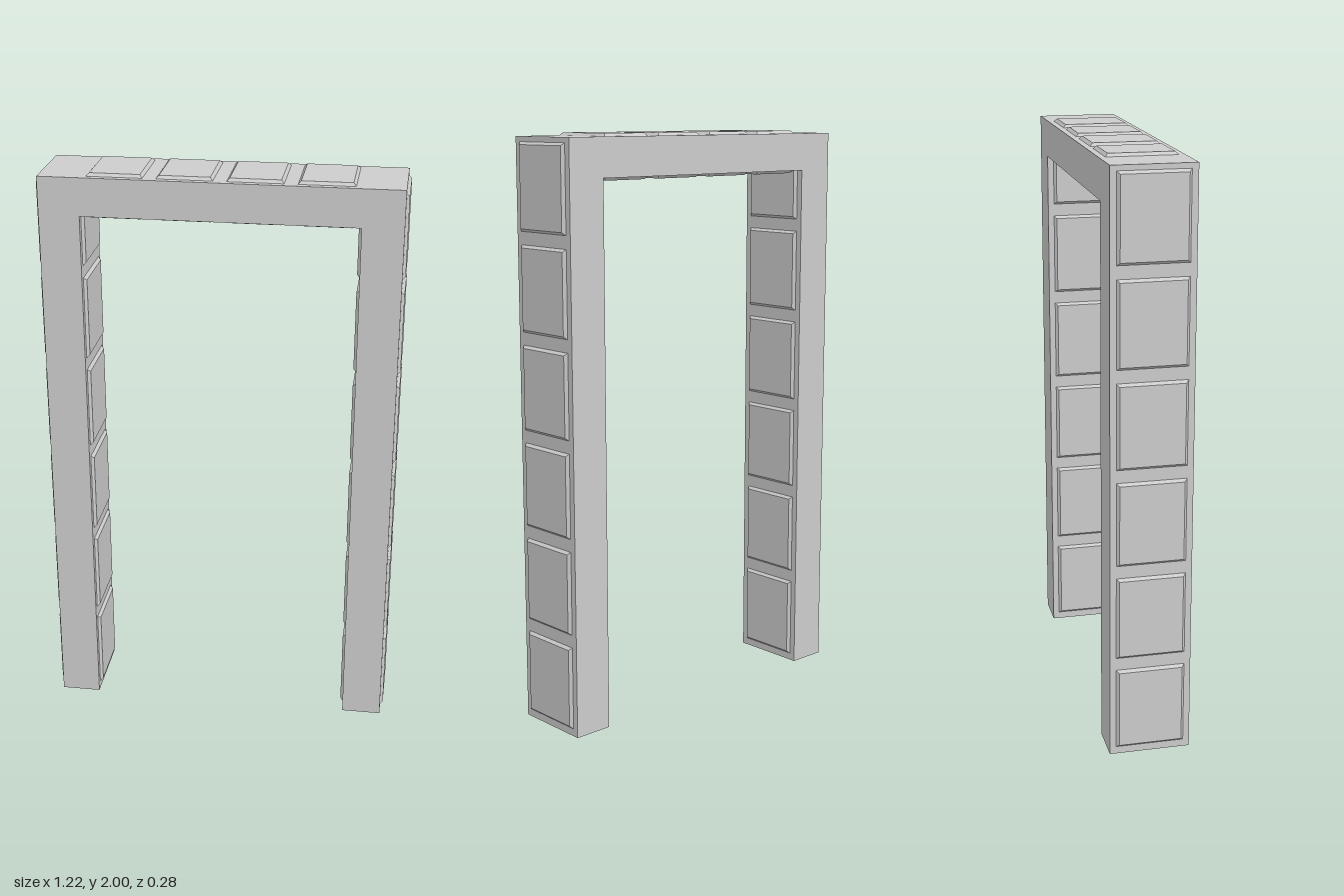
import * as THREE from 'three';

const HALF_W = 0.6, TOP = 1.99, POST = 0.138, LINTEL = 0.13, DEPTH = 0.276, RAISE = 0.01, BEVEL = 0.009;

// Raised panel: a thin slab on the local xz plane whose upper face is inset to form a bevel
function panelGeometry(width, depth) {
  const geo = new THREE.BoxGeometry(width, RAISE, depth);
  geo.translate(0, RAISE / 2, 0);
  const pos = geo.attributes.position;
  for (let i = 0; i < pos.count; i++) {
    if (pos.getY(i) < RAISE / 2) continue;
    pos.setX(i, pos.getX(i) - Math.sign(pos.getX(i)) * BEVEL);
    pos.setZ(i, pos.getZ(i) - Math.sign(pos.getZ(i)) * BEVEL);
  }
  geo.computeVertexNormals();
  return geo;
}

export function createModel() {
  const model = new THREE.Group();
  model.name = 'doorFrame';
  const grey = new THREE.MeshStandardMaterial({ color: 0xcccccc });
  grey.name = 'grey';

  // Two posts and lintel in one outline
  const inner = HALF_W - POST, under = TOP - LINTEL;
  const outline = new THREE.Shape([
    [-HALF_W, 0], [-inner, 0], [-inner, under], [inner, under],
    [inner, 0], [HALF_W, 0], [HALF_W, TOP], [-HALF_W, TOP],
  ].map(([x, y]) => new THREE.Vector2(x, y)));
  const frameGeo = new THREE.ExtrudeGeometry(outline, { depth: DEPTH, bevelEnabled: false });
  frameGeo.translate(0, 0, -DEPTH / 2);
  const frame = new THREE.Mesh(frameGeo, grey);
  frame.name = 'frame';
  model.add(frame);

  const addPanel = (name, geo, x, y, turn) => {
    const panel = new THREE.Mesh(geo, grey);
    panel.name = name;
    panel.position.set(x, y, 0);
    panel.rotation.z = turn;
    model.add(panel);
  };

  // Post panels, six on the outer and inner face of each post
  const postPanel = panelGeometry(0.288, 0.233);
  for (let i = 0; i < 6; i++) {
    const y = 0.17 + i * 0.3317;
    for (const side of [-1, 1]) {
      addPanel('outerPostPanel', postPanel, side * HALF_W, y, -side * Math.PI / 2);
      addPanel('innerPostPanel', postPanel, side * inner, y, side * Math.PI / 2);
    }
  }

  // Lintel panels, four above and four below
  const lintelPanel = panelGeometry(0.186, 0.233);
  for (let i = 0; i < 4; i++) {
    const x = (i - 1.5) * 0.231;
    addPanel('upperLintelPanel', lintelPanel, x, TOP, 0);
    addPanel('lowerLintelPanel', lintelPanel, x, under, Math.PI);
  }
  return model;
}
